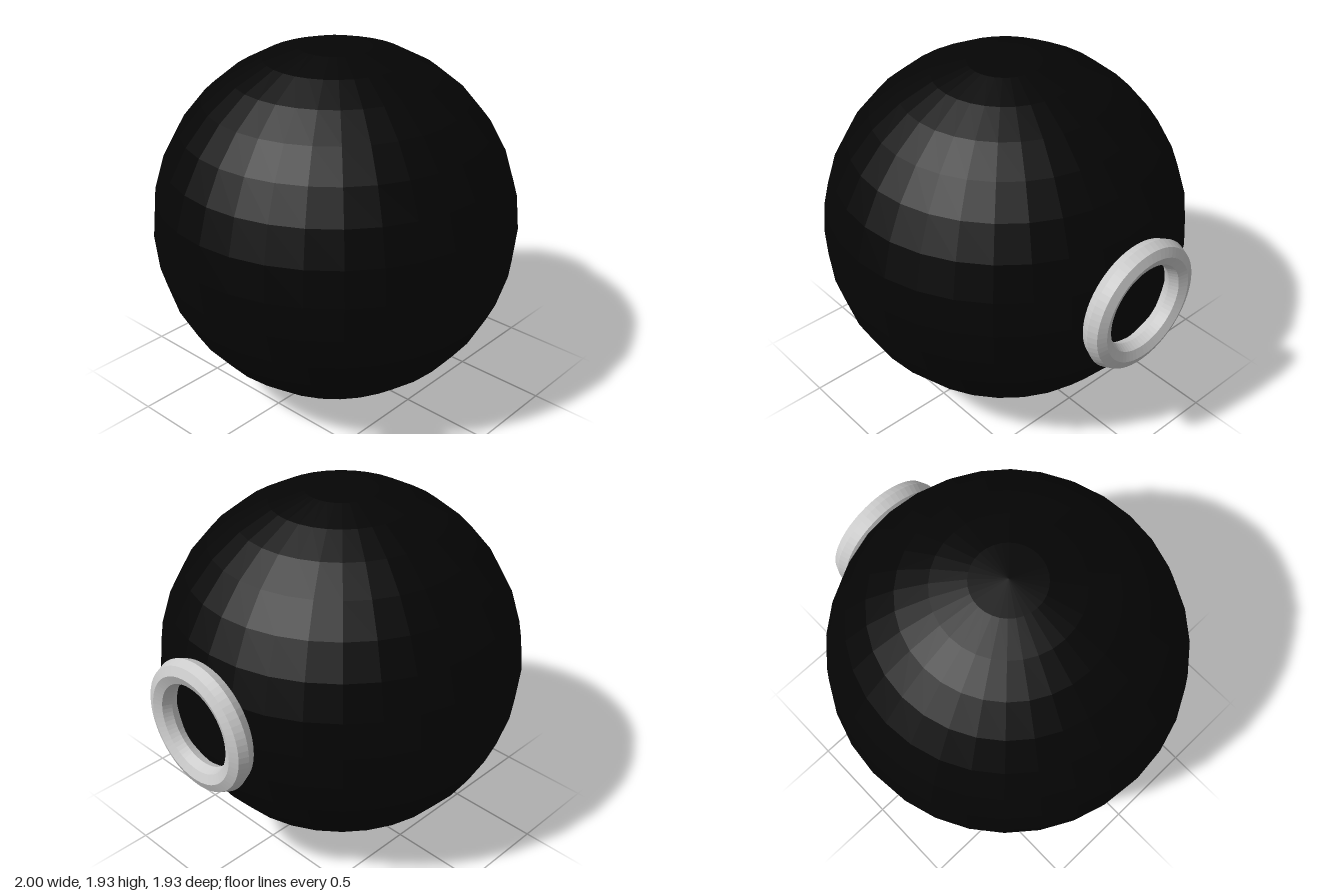
import * as THREE from 'three';

export function createModel() {
  const model = new THREE.Group();
  const radius = 0.963;
  const centreX = -0.037;

  // Dark ball resting on the ground
  const ball = new THREE.Mesh(
    new THREE.SphereGeometry(radius, 32, 16),
    new THREE.MeshStandardMaterial({ color: 0x050505, flatShading: true })
  );
  ball.name = 'ball';
  ball.position.set(centreX, radius, 0);

  // Pale ring seated on the ball's left side, its axis along x
  const ring = new THREE.Mesh(
    new THREE.TorusGeometry(0.2865, 0.0665, 8, 64),
    new THREE.MeshStandardMaterial({ color: 0xcccccc, flatShading: true })
  );
  ring.name = 'ring';
  ring.position.set(0.9335, radius, 0);
  ring.rotation.y = Math.PI / 2;

  model.add(ball, ring);
  return model;
}
